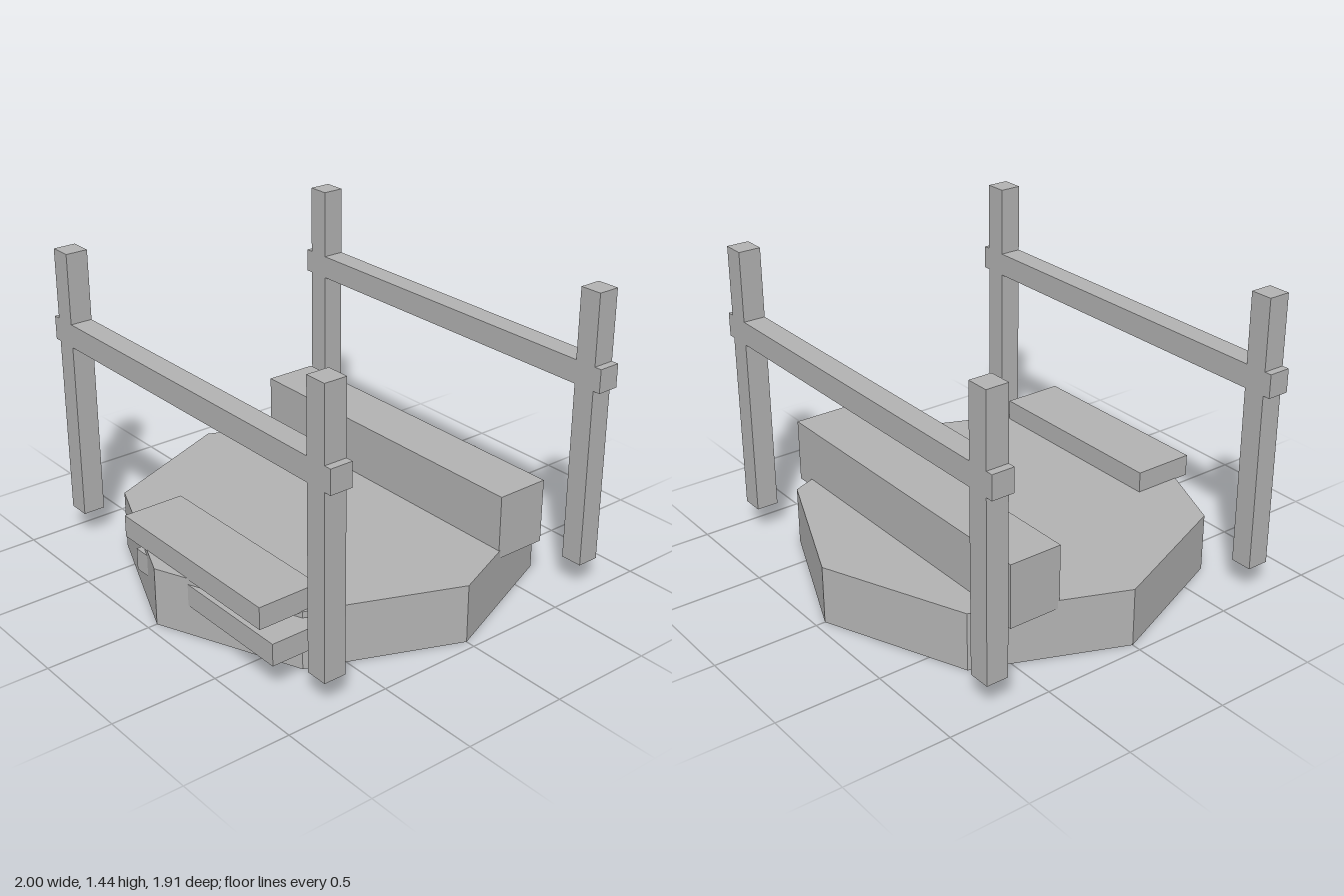
import * as THREE from 'three';

export function createModel() {
  const model = new THREE.Group();
  model.name = 'ringPlatform';
  const grey = new THREE.MeshStandardMaterial({ color: 0xb3b3b3 });
  grey.name = 'plain grey';

  const add = (name, geometry, x, y, z, parent = model) => {
    const mesh = new THREE.Mesh(geometry, grey);
    mesh.name = name;
    mesh.position.set(x, y, z);
    parent.add(mesh);
    return mesh;
  };
  const box = (w, h, d) => new THREE.BoxGeometry(w, h, d);

  // Eight-sided floor, corners on the axes
  const floor = new THREE.CylinderGeometry(0.955, 0.955, 0.28, 8).toNonIndexed();
  floor.computeVertexNormals();
  add('platform', floor, 0, 0.14, 0);

  // Long block at the back
  add('bench', box(1.65, 0.305, 0.26), 0, 0.393, -0.435);

  // Two staggered boards form the front steps
  add('upperStep', box(0.995, 0.105, 0.3), 0.172, 0.328, 0.74);
  add('lowerStep', box(0.995, 0.105, 0.3), 0.257, 0.198, 0.74);

  // A frame of two posts and a crossbeam at the front and the back
  for (const [name, side] of [['frontFrame', 1], ['backFrame', -1]]) {
    const frame = new THREE.Group();
    frame.name = name;
    frame.position.z = side * 0.738;
    add('leftPost', box(0.107, 1.305, 0.107), 0.911, 0.783, 0, frame);
    add('rightPost', box(0.107, 1.305, 0.107), -0.911, 0.783, 0, frame);
    add('crossbeam', box(2, 0.112, 0.107), 0, 1.045, 0, frame);
    model.add(frame);
  }
  return model;
}
